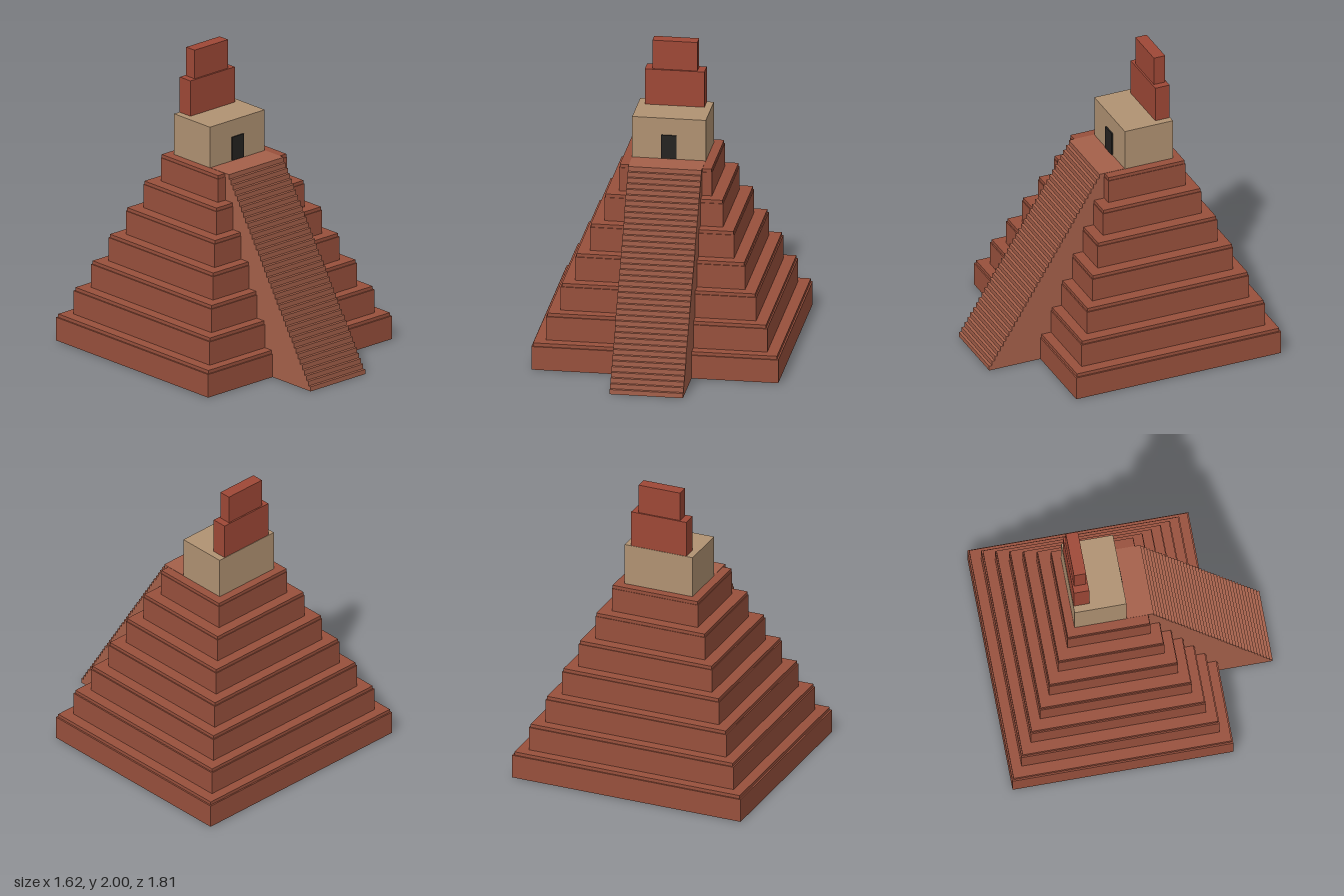
import * as THREE from 'three';

const material = (color) => new THREE.MeshStandardMaterial({ color, flatShading: true });
const BRICK = material(0x98503c);
const STAIR = material(0xa5604a);
const STONE = material(0xb09272);
const CREST = material(0x9e4836);
const DARK = material(0x242220);

// Box given by its extents: x is symmetric, y and z run from low to high
function block(name, mat, halfX, y0, y1, z0, z1) {
  const mesh = new THREE.Mesh(new THREE.BoxGeometry(2 * halfX, y1 - y0, z1 - z0), mat);
  mesh.position.set(0, (y0 + y1) / 2, (z0 + z1) / 2);
  mesh.name = name;
  return mesh;
}

// Seven shrinking tiers, each with a slightly inset capping course
function createTiers() {
  const tiers = new THREE.Group();
  tiers.name = 'tiers';
  const count = 7, height = 1.28 / count, cap = 0.023, centreZ = -0.181;
  for (let i = 0; i < count; i++) {
    const hx = 0.808 - 0.084 * i, hz = 0.726 - 0.0755 * i;
    const y0 = i === 0 ? 0.001 : i * height, y1 = (i + 1) * height;
    const cx = hx * 0.987, cz = hz * 0.987;
    tiers.add(block('tier', BRICK, hx, y0, y1 - cap, centreZ - hz, centreZ + hz));
    tiers.add(block('tierCap', BRICK, cx, y1 - cap, y1, centreZ - cz, centreZ + cz));
  }
  return tiers;
}

// Solid staircase: stepped side profile extruded across the width
function createStaircase() {
  const steps = 40, rise = 1.282 / steps, run = 0.02;
  const frontZ = 0.907, backZ = -0.05, width = 0.48;
  const profile = new THREE.Shape();
  profile.moveTo(-backZ, 0);
  profile.lineTo(-frontZ, 0);
  for (let i = 0; i < steps; i++) {
    profile.lineTo(-frontZ + i * run, (i + 1) * rise);
    if (i < steps - 1) profile.lineTo(-frontZ + (i + 1) * run, (i + 1) * rise);
  }
  profile.lineTo(-backZ, steps * rise);
  const geometry = new THREE.ExtrudeGeometry(profile, { depth: width, bevelEnabled: false });
  geometry.translate(0, 0, -width / 2);
  geometry.rotateY(Math.PI / 2); // profile x becomes -z
  const mesh = new THREE.Mesh(geometry, STAIR);
  mesh.name = 'staircase';
  return mesh;
}

// Shrine with a doorway and a two-stage roof comb at its back
function createTemple() {
  const temple = new THREE.Group();
  temple.name = 'temple';
  temple.add(
    block('shrine', STONE, 0.241, 1.28, 1.56, -0.395, -0.054),
    block('doorway', DARK, 0.05, 1.285, 1.445, -0.06, -0.045),
    block('lowerRoofComb', CREST, 0.195, 1.56, 1.803, -0.392, -0.29),
    block('upperRoofComb', CREST, 0.147, 1.803, 2, -0.382, -0.302),
  );
  return temple;
}

export function createModel() {
  const model = new THREE.Group();
  model.name = 'stepPyramid';
  model.add(createTiers(), createStaircase(), createTemple());
  return model;
}
